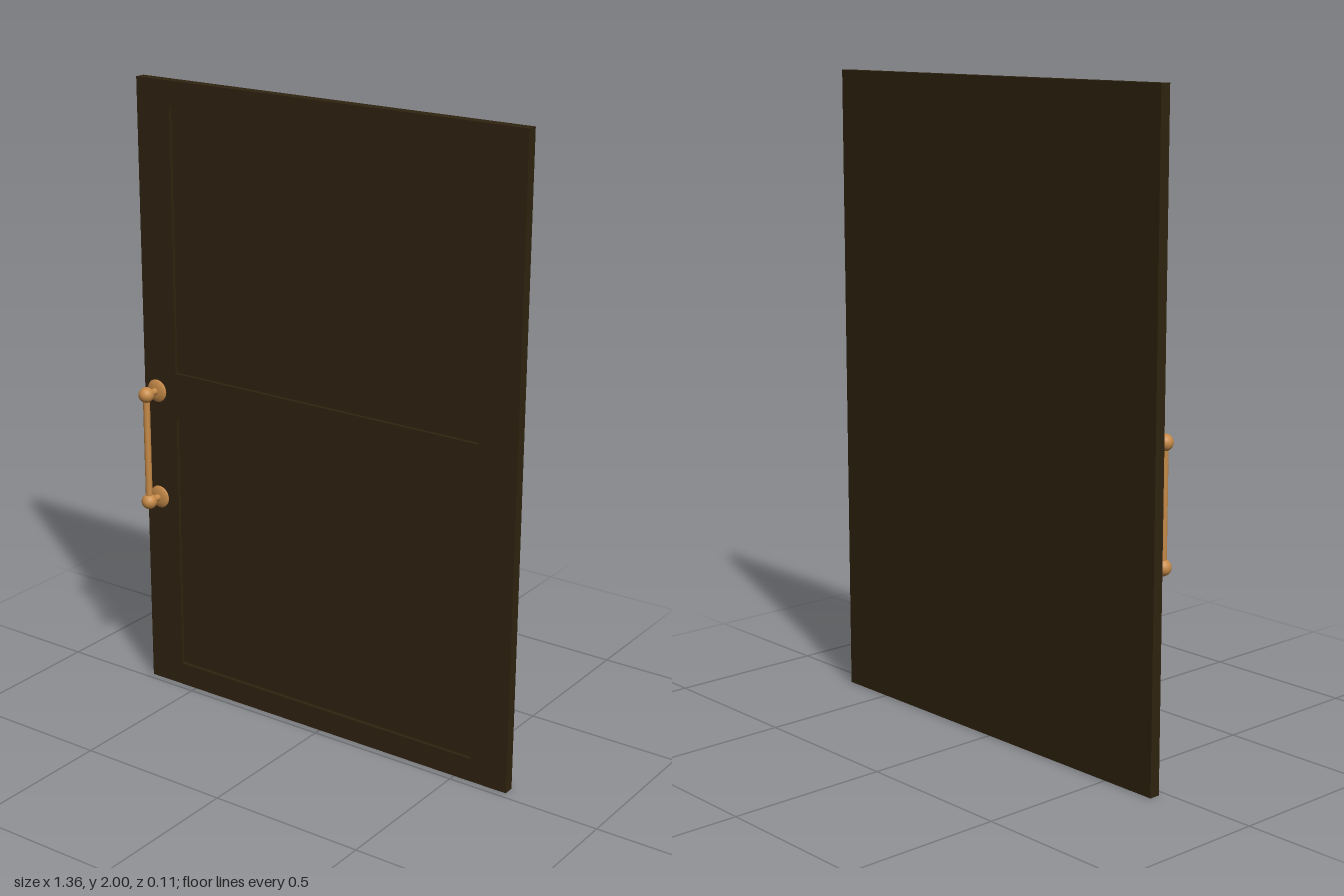
import * as THREE from 'three';

const FRONT = -0.023, BACK = -0.057, RECESS = 0.012;

export function createModel() {
  const model = new THREE.Group();
  model.name = 'door';
  const wood = new THREE.MeshStandardMaterial({ color: 0x302310 });
  wood.name = 'dark wood';
  const brass = new THREE.MeshStandardMaterial({ color: 0xc68a48 });
  brass.name = 'brass';

  const add = (parent, name, geometry, material, x, y, z) => {
    const mesh = new THREE.Mesh(geometry, material);
    mesh.name = name;
    mesh.position.set(x, y, z);
    parent.add(mesh);
    return mesh;
  };
  const rectangle = (PathType, x0, y0, x1, y1) => new PathType([
    new THREE.Vector2(x0, y0), new THREE.Vector2(x1, y0),
    new THREE.Vector2(x1, y1), new THREE.Vector2(x0, y1),
  ]);

  // Solid back layer: its front forms the floors of the two recessed panels
  const backDepth = FRONT - RECESS - BACK;
  add(model, 'doorSlab', new THREE.BoxGeometry(1.364, 2, backDepth), wood,
    0, 1, BACK + backDepth / 2);

  // Front frame with an opening for each panel
  const frame = rectangle(THREE.Shape, -0.682, 0, 0.682, 2);
  for (const [bottom, top] of [[0.075, 0.935], [1.08, 1.925]]) {
    frame.holes.push(rectangle(THREE.Path, -0.557, bottom, 0.555, top));
  }
  add(model, 'doorFrame',
    new THREE.ExtrudeGeometry(frame, { depth: RECESS, bevelEnabled: false }),
    wood, 0, 0, FRONT - RECESS);

  // Pull handle: two mounts joined by an upright bar
  const handle = new THREE.Group();
  handle.name = 'handle';
  handle.position.x = -0.632;
  model.add(handle);

  const low = 0.65, high = 1.01, reach = 0.032;
  const rosette = new THREE.LatheGeometry([
    [0, 0], [0.036, 0], [0.037, 0.003], [0.034, 0.007],
    [0.026, 0.009], [0.018, 0.012], [0, 0.013],
  ].map(([r, h]) => new THREE.Vector2(r, h)), 32);
  const stem = new THREE.CylinderGeometry(0.011, 0.011, reach - FRONT, 20);
  const knob = new THREE.SphereGeometry(0.025, 28, 18);

  for (const y of [low, high]) {
    add(handle, 'rosette', rosette, brass, 0, y, FRONT).rotation.x = Math.PI / 2;
    add(handle, 'stem', stem, brass, 0, y, (FRONT + reach) / 2).rotation.x = Math.PI / 2;
    add(handle, 'knob', knob, brass, 0, y, reach);
  }
  add(handle, 'gripBar', new THREE.CylinderGeometry(0.011, 0.011, high - low, 20),
    brass, 0, (low + high) / 2, reach);

  return model;
}
